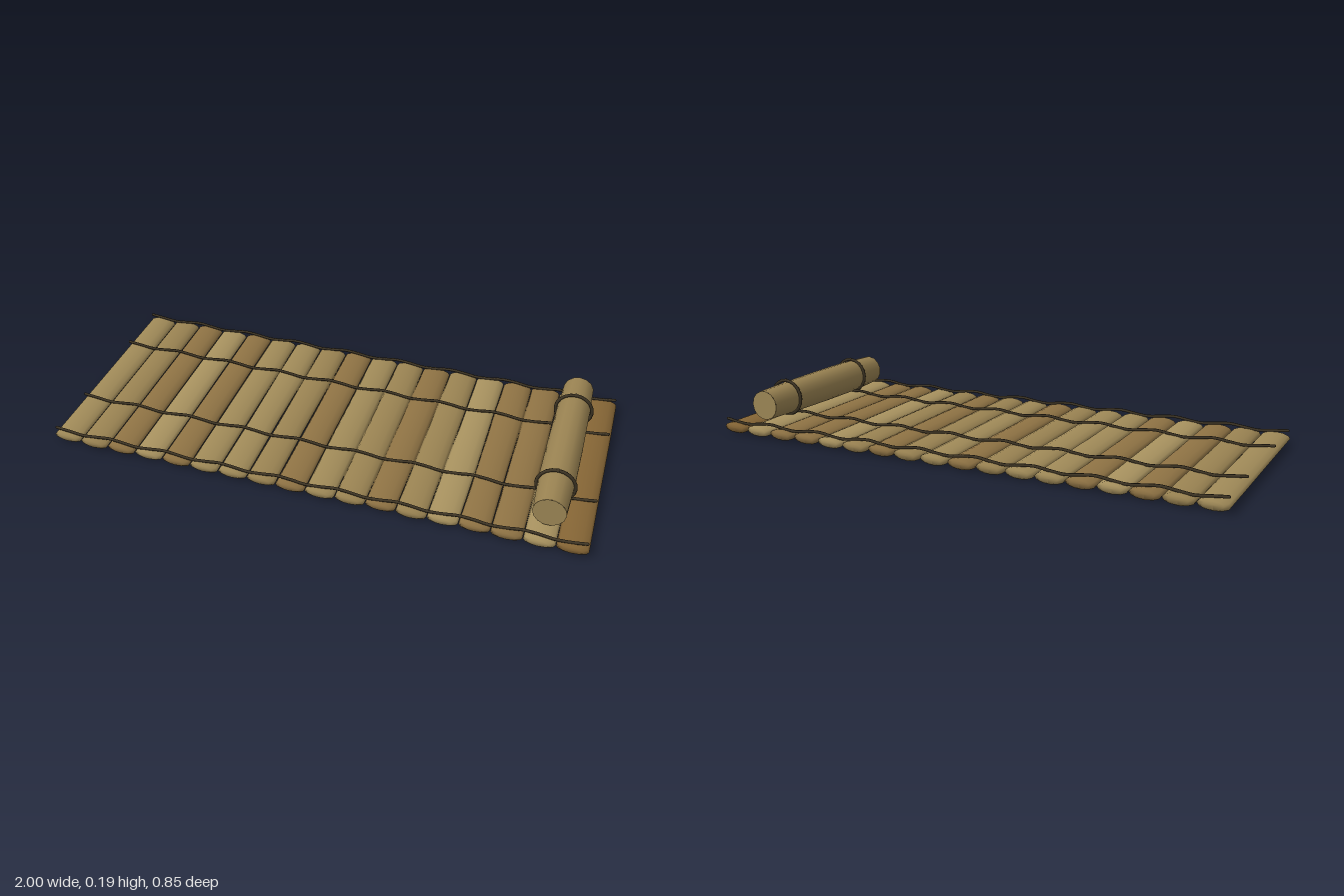
import * as THREE from 'three';

const SLATS = 18, PITCH = 2 / SLATS;

const paint = (hex) => {
  const m = new THREE.MeshStandardMaterial();
  m.color.set(hex);
  return m;
};

// Seeded noise so every slat differs a little
let seed = 11;
const rand = () => (seed = (seed * 16807) % 2147483647) / 2147483647;

function add(parent, name, geometry, material) {
  const mesh = new THREE.Mesh(geometry, material);
  mesh.name = name;
  parent.add(mesh);
  return mesh;
}

// Turned solid lying along z; profile is a list of [radius, z]
function turned(profile, sides) {
  const g = new THREE.LatheGeometry(profile.map(([r, z]) => new THREE.Vector2(r, z)), sides);
  return g.rotateX(Math.PI / 2);
}

export function createModel() {
  const model = new THREE.Group();
  model.name = 'rolledSlatMat';
  const tones = [0xa08a58, 0x9a8352, 0x8f7344, 0xa8925f].map(paint);
  const brown = paint(0x856535);
  const cordMat = paint(0x3d3424);

  // Flattened slats side by side
  const slats = new THREE.Group();
  slats.name = 'slats';
  model.add(slats);
  for (let i = 0; i < SLATS; i++) {
    const half = 0.421 + rand() * 0.005, a = 0.95 + rand() * 0.05, b = 0.95 + rand() * 0.05;
    const geo = turned([
      [0, -half], [0.6, -half + 0.001], [0.97, -half + 0.009], [a, -0.2],
      [b, 0.1], [0.97, half - 0.009], [0.6, half - 0.001], [0, half],
    ], 12);
    geo.scale(PITCH / 2 + 0.001, 0.0215, 1);
    geo.computeVertexNormals();
    const slat = add(slats, 'slat', geo, i === SLATS - 1 ? brown : tones[Math.floor(rand() * 4)]);
    slat.position.set(-1 + PITCH * (i + 0.5), 0.0245, 0);
  }

  // Four cords weaving up and down across the slats
  [-0.408, -0.19, 0.19, 0.408].forEach((z) => {
    const points = [];
    for (let i = 0; i <= SLATS * 2; i++) {
      const x = -0.99 + (1.98 * i) / (SLATS * 2);
      points.push(new THREE.Vector3(x, 0.05 + 0.006 * Math.cos((x + 0.99) * Math.PI / PITCH), z));
    }
    const curve = new THREE.CatmullRomCurve3(points);
    add(model, 'weavingCord', new THREE.TubeGeometry(curve, 108, 0.0055, 6), cordMat);
    // Closed cord ends
    [points[0], points[points.length - 1]].forEach((p) => {
      add(model, 'cordEnd', new THREE.SphereGeometry(0.0055, 6, 4), cordMat).position.copy(p);
    });
  });

  // Small roll lying near the left end
  const roll = new THREE.Group();
  roll.name = 'roll';
  roll.position.set(0.848, 0.111, 0);
  model.add(roll);
  const body = turned([
    [0.057, -0.357], [0.062, -0.2], [0.065, 0], [0.065, 0.2], [0.058, 0.358],
  ], 14);
  add(roll, 'rollBody', body, tones[1]);
  [[-0.357, 0.057, Math.PI], [0.358, 0.058, 0]].forEach(([z, r, turn]) => {
    const cap = add(roll, 'rollEnd', new THREE.CircleGeometry(r, 14), tones[0]);
    cap.position.z = z;
    cap.rotation.y = turn;
  });

  // Ties around the roll
  [-0.22, 0.22].forEach((z) => {
    const tie = add(roll, 'rollTie', new THREE.TorusGeometry(0.068, 0.0065, 6, 20), cordMat);
    tie.position.set(0, 0.003, z);
    // Knot on top
    const knot = add(roll, 'tieKnot', new THREE.SphereGeometry(0.0075, 8, 6), cordMat);
    knot.position.set(0, 0.071, z);
  });

  return model;
}
